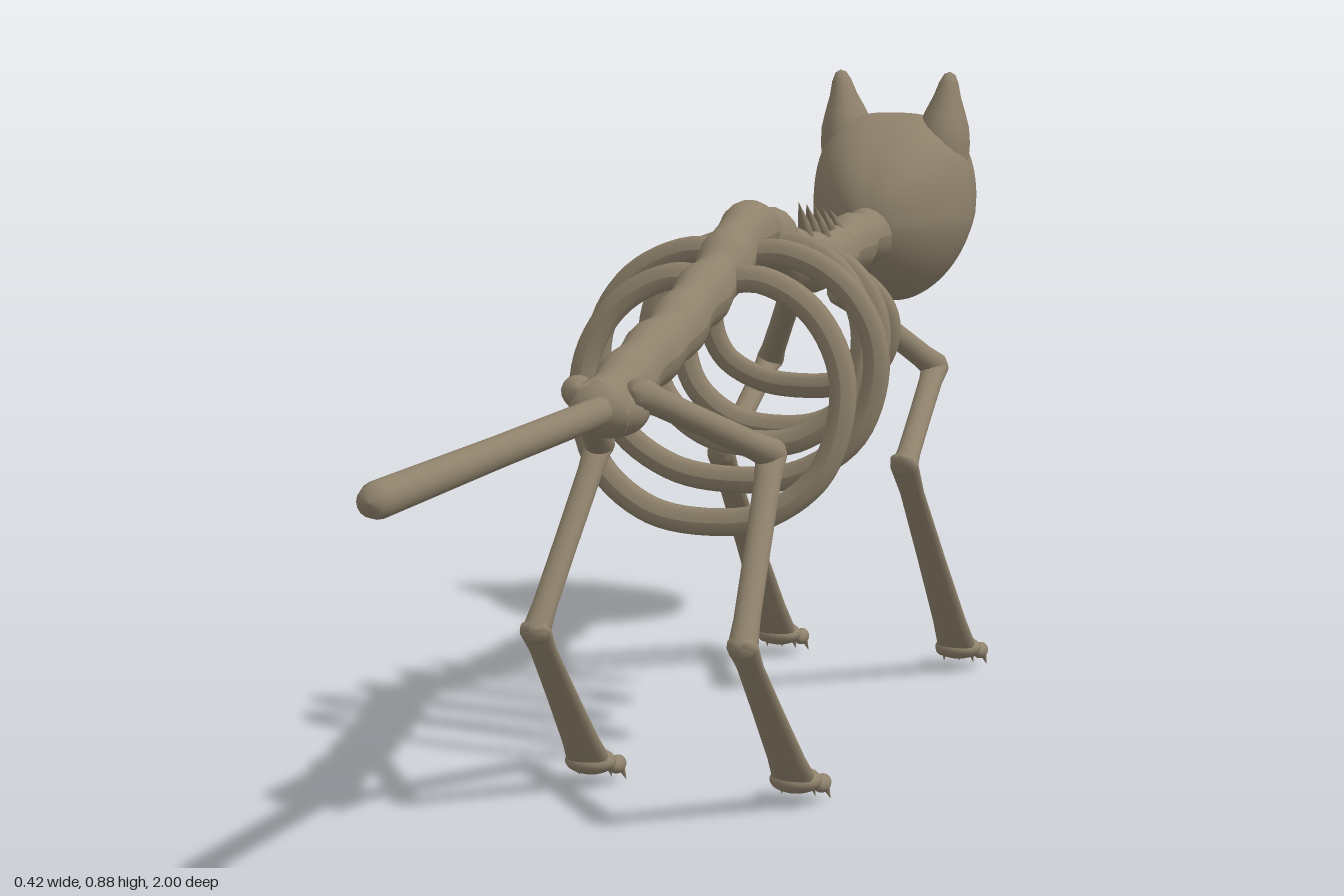
import * as THREE from 'three';

const bone = new THREE.MeshStandardMaterial({ color: 0x8f826c });
bone.name = 'agedBone';
const V = (x, y, z) => new THREE.Vector3(x, y, z);
const UP = V(0, 1, 0);

function add(parent, geometry, name) {
  const mesh = new THREE.Mesh(geometry, bone);
  mesh.name = name;
  parent.add(mesh);
  return mesh;
}

// Solid of revolution from a to b; profile is [radius, fraction of length], flat scales its depth
function rod(parent, name, a, b, profile, flat = 1) {
  const dir = b.clone().sub(a), len = dir.length();
  const g = new THREE.LatheGeometry(profile.map(([r, t]) => new THREE.Vector2(r, t * len)), 16);
  g.scale(1, 1, flat);
  g.applyQuaternion(new THREE.Quaternion().setFromUnitVectors(UP, dir.normalize()));
  g.translate(a.x, a.y, a.z);
  return add(parent, g, name);
}

// Limb bone with slightly swollen, rounded ends
const limb = (p, name, a, b, r0, r1, flat) => rod(p, name, a, b, [
  [0, -0.06], [r0 * 0.8, -0.045], [r0, 0], [r0 * 0.85, 0.14], [(r0 + r1) * 0.42, 0.5],
  [r1 * 0.87, 0.86], [r1, 1], [r1 * 0.8, 1.04], [0, 1.055]], flat);

const spike = (p, name, a, b, r) => rod(p, name, a, b, [[0, 0], [r, 0.02], [r * 0.7, 0.5], [0, 1]]);

function ball(parent, name, x, y, z, rx, ry, rz) {
  const m = add(parent, new THREE.SphereGeometry(1, 20, 14), name);
  m.position.set(x, y, z);
  m.scale.set(rx, ry, rz);
}

// Backbone: a tube whose radius swells at each vertebra, more strongly in the neck
function backbone(group) {
  const curve = new THREE.CatmullRomCurve3([
    [0.36, 0.55], [0.28, 0.57], [0.2, 0.592], [0.12, 0.607], [0.035, 0.635], [-0.07, 0.664], [-0.14, 0.698],
    [-0.2, 0.708], [-0.28, 0.69], [-0.35, 0.66], [-0.45, 0.64], [-0.55, 0.636], [-0.66, 0.645], [-0.75, 0.65],
  ].map(([z, y]) => V(0, y, z)));
  const n = 180, sides = 18;
  const g = new THREE.TubeGeometry(curve, n, 0.039, sides), pos = g.attributes.position;
  const v = V(0, 0, 0);
  for (let i = 0; i <= n; i++) {
    const t = i / n, c = curve.getPointAt(t);
    const s = 1 + (0.07 + 0.08 * t * t) * Math.cos(t * Math.PI * 24);
    for (let j = 0; j <= sides; j++) {
      const k = i * (sides + 1) + j;
      v.fromBufferAttribute(pos, k).sub(c).multiplyScalar(s).add(c);
      pos.setXYZ(k, v.x * 0.88, v.y, v.z);
    }
  }
  g.computeVertexNormals();
  add(group, g, 'spine');
  for (let i = 0; i < 5; i++) {
    const z = -0.425 - i * 0.036;
    spike(group, 'neckSpike', V(0, 0.66, z - 0.03), V(0, 0.728 - i * 0.006, z + 0.02), 0.012);
  }
}

// Closed rib loop leaning from its top at zTop to its bottom at zBottom
function rib(group, w, yTop, yBottom, zTop, zBottom) {
  const half = [[0.35, 0.99], [0.72, 0.88], [0.95, 0.68], [0.99, 0.47], [0.84, 0.21], [0.45, 0.04]];
  const at = ([x, t]) => V(x * w, yBottom + (yTop - yBottom) * t, 0);
  const loop = [[0, 0.98], ...half, [0, 0], ...half.map(([x, t]) => [-x, t]).reverse()].map(at);
  const g = new THREE.TubeGeometry(new THREE.CatmullRomCurve3(loop, true), 72, 0.018, 10, true);
  g.scale(1, 1, 0.62);
  const p = g.attributes.position;
  for (let i = 0; i < p.count; i++) {
    const t = (p.getY(i) - yBottom) / (yTop - yBottom);
    p.setZ(i, p.getZ(i) + zBottom + (zTop - zBottom) * t);
  }
  g.computeVertexNormals();
  add(group, g, 'rib');
}

// Three-bone leg with a clawed paw
function leg(group, name, s, joints) {
  const leg = new THREE.Group();
  leg.name = name;
  group.add(leg);
  const [a, b, c, d] = joints.map(([x, y, z]) => V(s * x, y, z));
  limb(leg, 'upperBone', a, b, 0.02, 0.02);
  limb(leg, 'middleBone', b, c, 0.02, 0.019, 0.85);
  limb(leg, 'lowerBone', c, d, 0.021, 0.029, 0.55);
  ball(leg, 'paw', d.x, 0.036, d.z - 0.012, 0.034, 0.017, 0.03);
  for (let i = 0; i < 4; i++) {
    const k = i - 1.5, x = d.x + k * 0.019, z = d.z - 0.042 + Math.abs(k) * 0.005;
    ball(leg, 'toe', x, 0.028, z, 0.011, 0.012, 0.018);
    spike(leg, 'claw', V(x, 0.028, z - 0.008), V(x + k * 0.003, 0.002, z - 0.022), 0.005);
  }
}

// Skull: a boxy shaped ball with carved eye sockets, nostrils and mouth
function skull(group) {
  const head = new THREE.Group();
  head.name = 'head';
  group.add(head);
  const g = new THREE.SphereGeometry(1, 96, 96);
  g.rotateX(Math.PI / 2);
  const p = g.attributes.position, step = THREE.MathUtils.smoothstep;
  const square = (d, e) => Math.sign(d) * Math.pow(Math.abs(d), e);
  for (let i = 0; i < p.count; i++) {
    const t = p.getZ(i), s = Math.sqrt(Math.max(0, 1 - t * t)) || 1e-6;
    const dx = p.getX(i) / s, dy = p.getY(i) / s, e = dy > 0 ? 0.72 : 0.85;
    const f = t < 0 ? Math.pow(s, 0.45) : Math.pow(s, 0.45 + 0.5 * Math.min(1, t * 3)) * (1 - 0.22 * t);
    const x = square(dx, e) * f * 0.121 * (1 - 0.28 * Math.max(0, -dy));
    const y = 0.665 + square(dy, e) * f * (dy > 0 ? 0.153 : 0.128);
    let z = -0.8625 + 0.1375 * t;
    if (t < -0.2) {
      const ax = Math.abs(x);
      const eye = 1 - step(Math.hypot(ax - 0.05, y - 0.71), 0.027, 0.035);
      const nose = 1 - step(Math.hypot(ax - 0.011, (y - 0.655) * 0.7), 0.006, 0.013);
      const mouth = (1 - step(Math.abs(y - 0.61 - ax * 0.12), 0.009, 0.018)) * (1 - step(ax, 0.05, 0.075));
      const cheek = (1 - step(y, 0.64, 0.7)) * step(ax, 0.03, 0.1);
      const brow = step(y, 0.75, 0.83);
      z += 0.045 * eye + 0.025 * nose + 0.035 * mouth + 0.012 * cheek + 0.03 * brow;
    }
    p.setXYZ(i, x, y, z);
  }
  g.computeVertexNormals();
  add(head, g, 'skull');

  // Teeth follow the curve of the jaws
  for (let i = -3; i <= 3; i++) {
    const x = i * 0.016, z = -0.984 + x * x * 7, fang = Math.abs(i) === 2 ? 0.006 : 0;
    spike(head, 'upperTooth', V(x, 0.634, z), V(x, 0.61 - fang, z - 0.002), 0.008);
    if (i < 3) spike(head, 'lowerTooth', V(x + 0.008, 0.588, z + 0.006), V(x + 0.008, 0.607, z + 0.004), 0.008);
  }

  // Pointed ears flaring into the corners of the skull
  for (const s of [-1, 1])
    rod(head, s > 0 ? 'leftEar' : 'rightEar', V(s * 0.07, 0.75, -0.88), V(s * 0.085, 0.88, -0.875),
      [[0.042, 0], [0.041, 0.2], [0.037, 0.38], [0.029, 0.55], [0.02, 0.72], [0.014, 0.88], [0.008, 0.97], [0, 1]], 1.2);
}

export function createModel() {
  const model = new THREE.Group();
  model.name = 'catSkeleton';
  backbone(model);
  skull(model);

  // Rib cage: half width, top, bottom, top z, bottom z
  [[0.178, 0.665, 0.352, -0.06, -0.018], [0.193, 0.69, 0.388, -0.145, -0.13],
    [0.15, 0.69, 0.423, -0.235, -0.212], [0.14, 0.67, 0.428, -0.332, -0.315],
    [0.129, 0.64, 0.471, -0.4, -0.42]].forEach((r) => rib(model, ...r));

  // Tail and pelvis
  rod(model, 'tail', V(0, 0.552, 0.33), V(0, 0.557, 1),
    [[0, 0], [0.018, 0.005], [0.018, 0.5], [0.02, 0.97], [0.016, 0.992], [0, 1]]);
  ball(model, 'pelvis', 0, 0.55, 0.325, 0.05, 0.034, 0.04);

  // Legs
  for (const s of [-1, 1]) {
    const side = s > 0 ? 'Left' : 'Right';
    leg(model, 'front' + side + 'Leg', s,
      [[0.035, 0.595, -0.49], [0.125, 0.47, -0.665], [0.135, 0.355, -0.475], [0.14, 0.045, -0.745]]);
    leg(model, 'hind' + side + 'Leg', s,
      [[0.04, 0.57, 0.325], [0.115, 0.46, 0.06], [0.135, 0.25, 0.23], [0.14, 0.045, 0.045]]);
  }
  return model;
}
